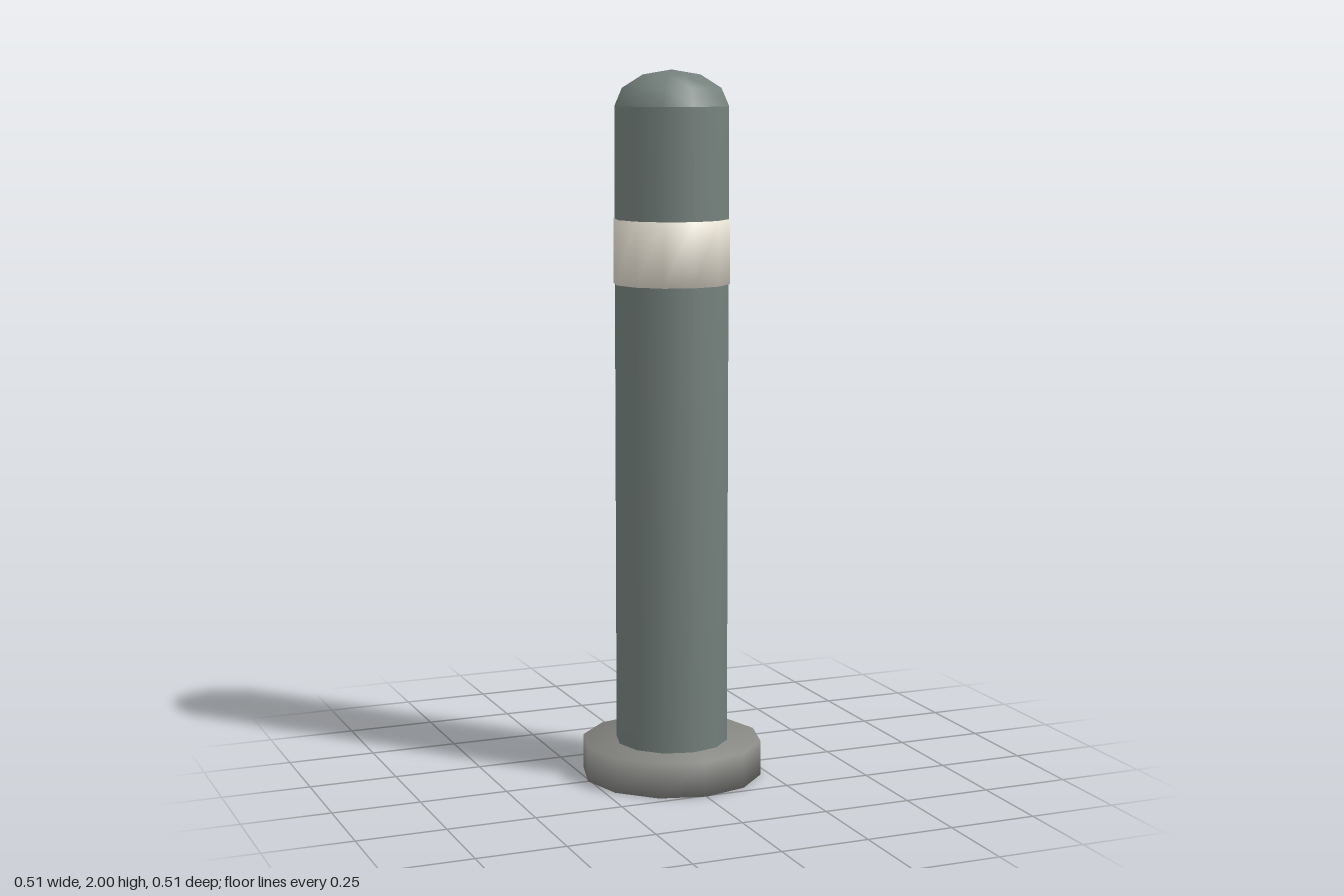
import * as THREE from 'three';
import { mergeVertices } from 'three/addons/utils/BufferGeometryUtils.js';

const SIDES = 12;

const iron = new THREE.MeshStandardMaterial({ color: 0x74807c });
const plate = new THREE.MeshStandardMaterial({ color: 0x86868a & 0xfffffc });
const cream = new THREE.MeshStandardMaterial({ color: 0xe6e0d2 });
plate.color.set(0x868683);

// Welds a geometry so its shading runs softly over every edge
function soften(geometry) {
  geometry.deleteAttribute('uv');
  geometry.deleteAttribute('normal');
  const welded = mergeVertices(geometry, 1e-4);
  welded.computeVertexNormals();
  return welded;
}

// Closed upright drum between two heights
function drum(name, radius, bottom, top, material) {
  const geometry = new THREE.CylinderGeometry(radius, radius, top - bottom, SIDES);
  const mesh = new THREE.Mesh(soften(geometry), material);
  mesh.name = name;
  mesh.position.y = (bottom + top) / 2;
  return mesh;
}

export function createModel() {
  const bollard = new THREE.Group();
  bollard.name = 'bollard';

  // Foot plate, post and reflective band
  bollard.add(
    drum('basePlate', 0.257, 0, 0.1, plate),
    drum('post', 0.16, 0.1, 1.9, iron),
    drum('reflectiveBand', 0.164, 1.41, 1.59, cream)
  );

  // Flattened dome on top
  const domeGeometry = new THREE.SphereGeometry(0.16, SIDES, 3, 0, Math.PI * 2, 0, Math.PI / 2);
  domeGeometry.scale(1, 0.1 / 0.16, 1);
  const dome = new THREE.Mesh(soften(domeGeometry), iron);
  dome.name = 'domeCap';
  dome.position.y = 1.9;
  bollard.add(dome);

  return bollard;
}
